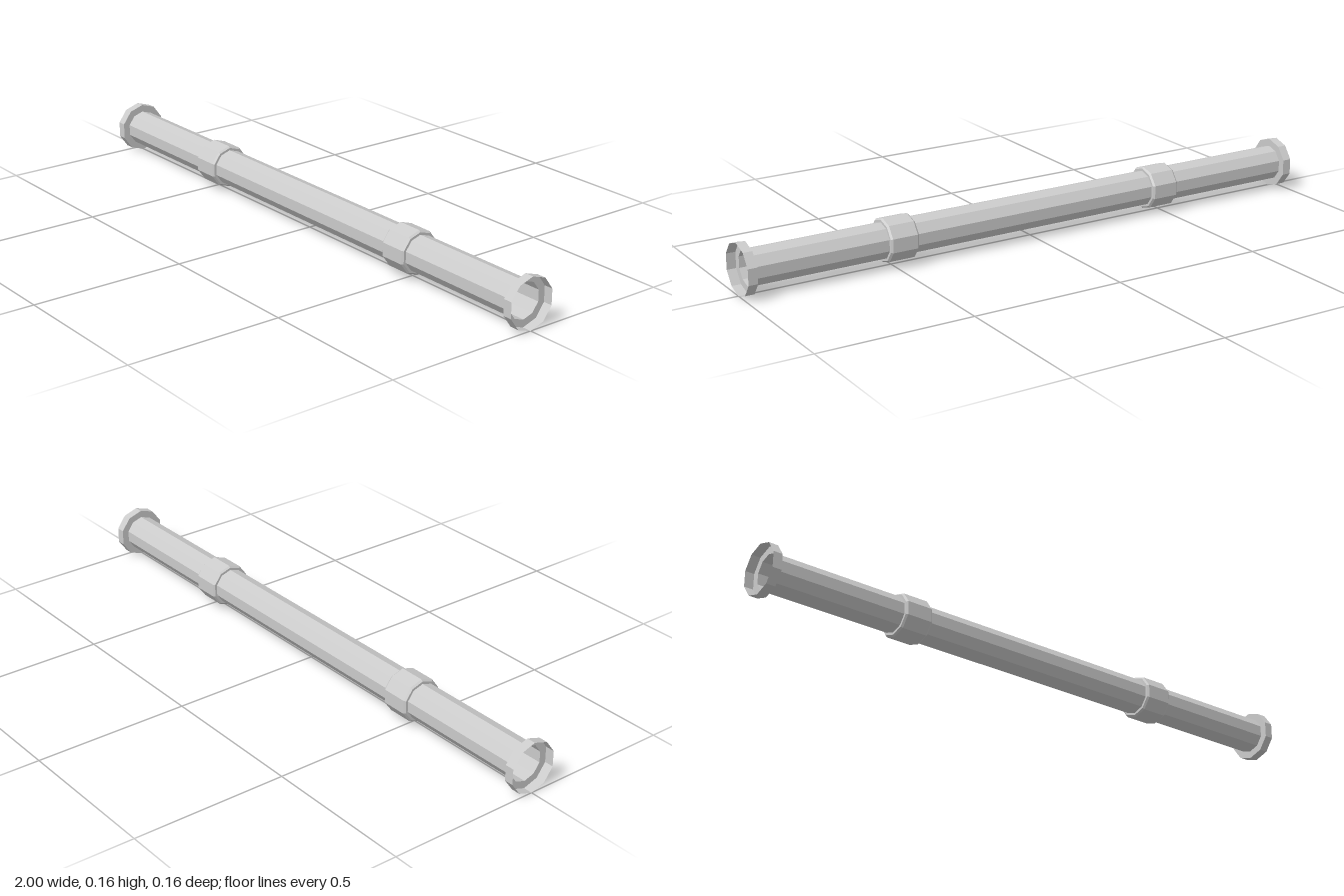
import * as THREE from 'three';

const SIDES = 10;
const AXIS_Y = 0.082;

const material = new THREE.MeshStandardMaterial({
  color: 0xcccccc,
  flatShading: true,
  side: THREE.DoubleSide,
});

// Ten-sided ring around the x axis; profile points are [x, radius] with x rising
function ring(name, profile) {
  const points = profile.map(([x, r]) => new THREE.Vector2(r, x));
  const geometry = new THREE.LatheGeometry(points, SIDES, Math.PI / 2);
  geometry.rotateZ(-Math.PI / 2);
  const mesh = new THREE.Mesh(geometry, material);
  mesh.name = name;
  mesh.position.y = AXIS_Y;
  return mesh;
}

export function createModel() {
  const group = new THREE.Group();
  group.name = 'pipe';

  // Long hollow tube
  group.add(ring('tube', [[-0.97, 0.058], [0.97, 0.058]]));

  for (const [side, label] of [[1, 'left'], [-1, 'right']]) {
    // Open cup-shaped rim at each end, and a bevelled collar further in
    const flange = ring(label + 'Flange', [[0.97, 0.058], [0.97, 0.082], [1, 0.082]]);
    const collar = ring(label + 'Collar', [
      [-0.048, 0.058], [-0.048, 0.066], [-0.042, 0.071],
      [0.042, 0.071], [0.048, 0.066], [0.048, 0.058],
    ]);
    if (side < 0) flange.rotation.y = Math.PI;
    collar.position.x = side * 0.483;
    group.add(flange, collar);
  }
  return group;
}
